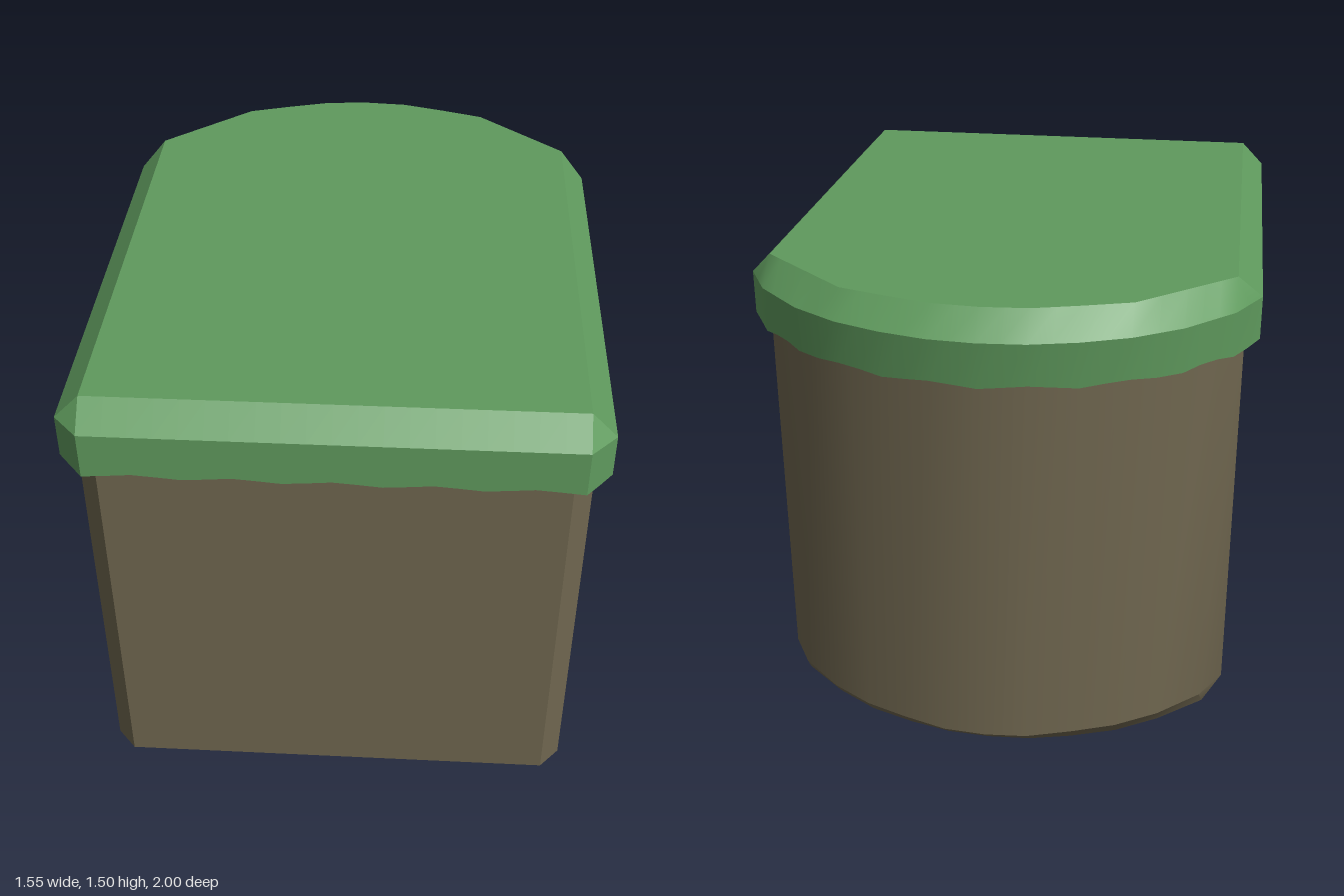
import * as THREE from 'three';
import { toCreasedNormals } from 'three/addons/utils/BufferGeometryUtils.js';

// Half outlines [x, z], from the front corner round to the middle of the back
const BODY = [[.67, .96], [.73, .895], [.73, -.52], [.66, -.64], [.53, -.76], [.4, -.84], [.27, -.89], [.13, -.935], [0, -.945]];
const BODY_FOOT = [[.67, .895], [.67, .895], [.67, -.58], [.67, -.58], [.53, -.7], [.4, -.78], [.26, -.83], [.13, -.862], [0, -.87]];
const LID = [[.7, 1], [.775, .92], [.775, -.53], [.7, -.67], [.56, -.81], [.42, -.9], [.28, -.955], [.14, -.99], [0, -1]];
const LID_TOP = [[.7, .92], [.7, .92], [.7, -.58], [.7, -.58], [.56, -.705], [.42, -.83], [.28, -.875], [.14, -.915], [0, -.925]];

const mirrored = (half) => [...half, ...half.slice(0, -1).reverse().map(([x, z]) => [-x, z])];

// Subdivide an outline; the counts follow the lid so matching rings stay aligned
function subdivide(half, step) {
  const ref = mirrored(LID), pts = mirrored(half), out = [];
  pts.forEach((a, i) => {
    const j = (i + 1) % pts.length, b = pts[j];
    const n = Math.max(1, Math.round(Math.hypot(ref[j][0] - ref[i][0], ref[j][1] - ref[i][1]) / step));
    for (let k = 0; k < n; k++) {
      out.push([a[0] + (b[0] - a[0]) * k / n, a[1] + (b[1] - a[1]) * k / n]);
    }
  });
  return out;
}

const atHeight = (outline, y, s = 1) => outline.map(([x, z]) => new THREE.Vector3(x * s, y, z * s));

// Skin a stack of closed rings, leaving out collapsed triangles
function loft(rings) {
  const pos = [];
  const tri = (a, b, c) => {
    if (new THREE.Triangle(a, b, c).getArea() > 1e-8) pos.push(...a.toArray(), ...b.toArray(), ...c.toArray());
  };
  for (let r = 0; r < rings.length - 1; r++) {
    const lo = rings[r], hi = rings[r + 1];
    lo.forEach((p, i) => {
      const j = (i + 1) % lo.length;
      tri(p, lo[j], hi[j]);
      tri(p, hi[j], hi[i]);
    });
  }
  const g = new THREE.BufferGeometry();
  g.setAttribute('position', new THREE.Float32BufferAttribute(pos, 3));
  return toCreasedNormals(g, 0.45);
}

function part(name, geometry, color) {
  const mesh = new THREE.Mesh(geometry, new THREE.MeshStandardMaterial({ color }));
  mesh.name = name;
  return mesh;
}

export function createModel() {
  const group = new THREE.Group();
  group.name = 'roundBackedBlock';

  // Earth body with a chamfered foot
  const body = mirrored(BODY), foot = mirrored(BODY_FOOT);
  group.add(part('earthBody', loft([
    atHeight(foot, 0, 0), atHeight(foot, 0), atHeight(body, .065), atHeight(body, 1.42), atHeight(body, 1.42, 0),
  ]), 0x6f664f));

  // Wavy lower edge of the grass, following the distance round the outline
  const outer = subdivide(LID, .07), top = subdivide(LID_TOP, .07);
  let s = .7;
  const hem = outer.map(([x, z], i) => {
    if (i) s += Math.hypot(x - outer[i - 1][0], z - outer[i - 1][1]);
    return new THREE.Vector3(x, 1.282 + .006 * Math.cos(s / .28 * Math.PI * 2), z < -.55 ? z * .982 : z);
  });
  const hemInner = hem.map((p) => new THREE.Vector3(p.x * .972, p.y, p.z * .978));
  const ceiling = hemInner.map((p) => new THREE.Vector3(p.x, 1.4, p.z));

  // Grass cap: hollow rim, upright side, bevel and flat top
  group.add(part('grassCap', loft([
    atHeight(outer, 1.4, .9), ceiling, hemInner, hem,
    atHeight(outer, 1.42), atHeight(top, 1.497), atHeight(top, 1.497, 0),
  ]), 0x5f9a5d));

  return group;
}
